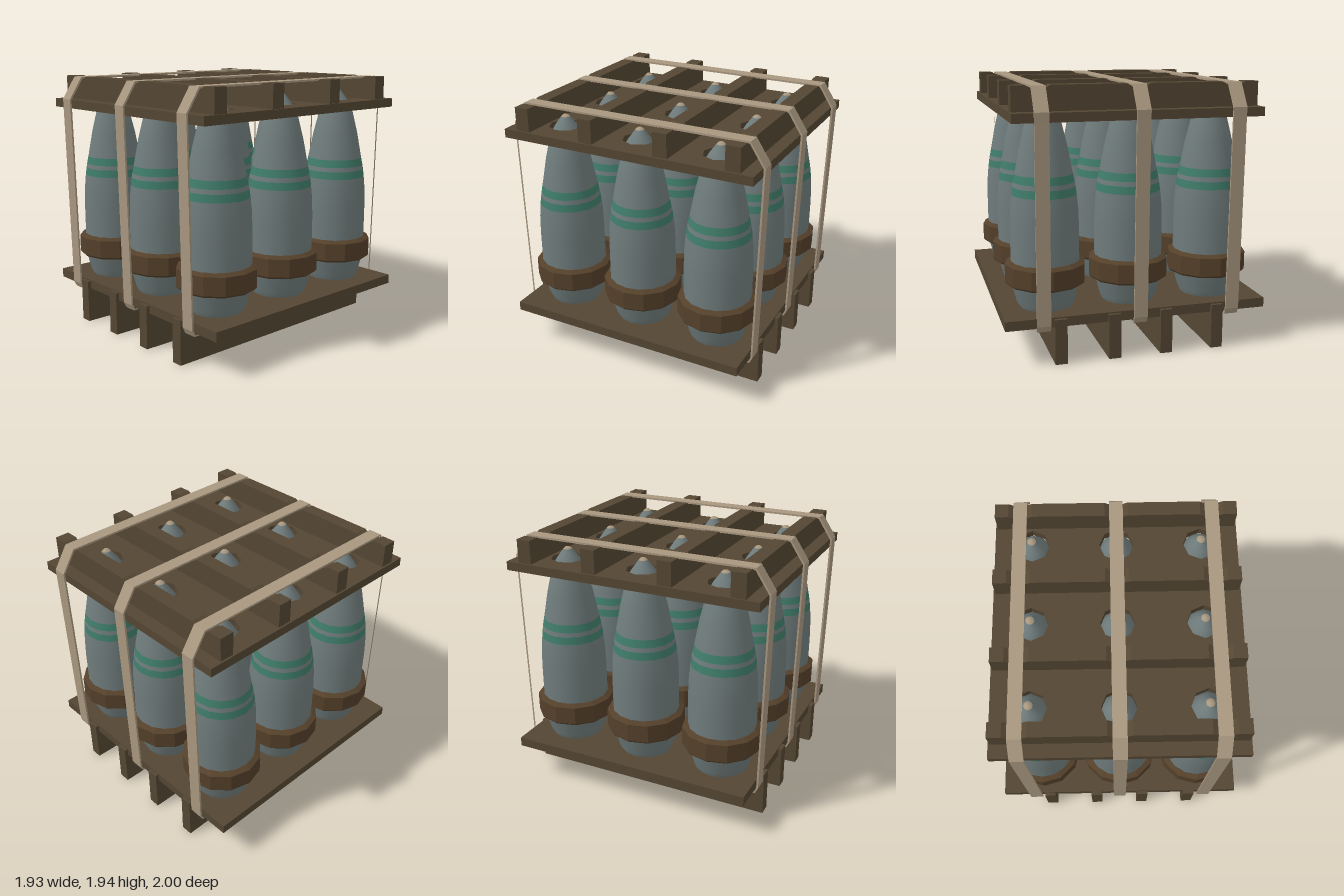
import * as THREE from 'three';

const mat = (name, color) => {
  const m = new THREE.MeshStandardMaterial({ color });
  m.name = name;
  return m;
};

export function createModel() {
  const root = new THREE.Group();
  root.name = 'palletOfShells';
  const wood = mat('wood', 0x544633);
  const ringBrown = mat('ringBrown', 0x54402a);
  const steel = mat('shellGrey', 0x6f7b7b);
  const green = mat('bandGreen', 0x3f7c69);
  const webbing = mat('strapTan', 0xa8977f);

  const add = (parent, name, geo, material, x = 0, y = 0, z = 0) => {
    const m = new THREE.Mesh(geo, material);
    m.name = name;
    m.position.set(x, y, z);
    parent.add(m);
    return m;
  };
  const pts = (list) => list.map(([a, b]) => new THREE.Vector2(a, b));
  const lathe = (list, sides) => new THREE.LatheGeometry(pts(list), sides);
  const columns = [-0.622, 0, 0.622];
  const rows = [-0.627, 0, 0.627];
  const strapX = [-0.7, 0, 0.7];

  // Pallet: deck board on four joists
  add(root, 'deckBoard', new THREE.BoxGeometry(1.935, 0.07, 1.88), wood, 0, 0.305, 0);
  for (const x of [-0.585, -0.195, 0.19, 0.58])
    add(root, 'joist', new THREE.BoxGeometry(0.088, 0.33, 1.935), wood, x, 0.165, 0);

  // Top board with octagonal holes for the noses
  const board = new THREE.Shape(pts([[-0.897, -0.977], [0.897, -0.977], [0.897, 0.977], [-0.897, 0.977]]));
  for (const x of columns) for (const z of rows) {
    const hole = [];
    for (let i = 0; i < 8; i++) {
      const a = -i * Math.PI / 4;
      hole.push([x + 0.127 * Math.cos(a), z + 0.127 * Math.sin(a)]);
    }
    board.holes.push(new THREE.Path(pts(hole)));
  }
  const boardGeo = new THREE.ExtrudeGeometry(board, { depth: 0.065, bevelEnabled: false });
  boardGeo.rotateX(-Math.PI / 2);
  add(root, 'topBoard', boardGeo, wood, 0, 1.7, 0);

  // Battens, notched where the straps cross
  const outline = [[-0.883, 1.765], [0.883, 1.765], [0.883, 1.94]];
  for (const c of [...strapX].reverse())
    outline.push([c + 0.085, 1.94], [c + 0.052, 1.92], [c - 0.052, 1.92], [c - 0.085, 1.94]);
  outline.push([-0.883, 1.94]);
  const battenGeo = new THREE.ExtrudeGeometry(new THREE.Shape(pts(outline)), { depth: 0.108, bevelEnabled: false });
  battenGeo.translate(0, 0, -0.054);
  for (const z of [-0.827, -0.297, 0.293, 0.823]) add(root, 'batten', battenGeo, wood, 0, 0, z);

  // Straps: closed thin loops around the whole stack
  const loop = (half) => pts([...half, ...half.map(([z, y]) => [-z, y]).reverse()]);
  const strap = new THREE.Shape(loop([[0.89, 1.938], [1, 1.77], [0.998, 1.7], [0.967, 0.29], [0.945, 0.245]]));
  strap.holes.push(new THREE.Path(loop([[0.882, 1.924], [0.986, 1.765], [0.984, 1.7], [0.953, 0.29], [0.938, 0.258]])));
  const strapGeo = new THREE.ExtrudeGeometry(strap, { depth: 0.1, bevelEnabled: false });
  strapGeo.translate(0, 0, -0.05);
  strapGeo.rotateY(-Math.PI / 2);
  for (const x of strapX) add(root, 'strap', strapGeo, webbing, x, 0, 0);

  // Shell parts, from the base up to the nose
  const parts = [
    ['shellBase', steel, 16, [[0, 0.34], [0.195, 0.34], [0.195, 0.34], [0.213, 0.38], [0.25, 0.52]]],
    ['shellBody', steel, 16, [[0.25, 0.66], [0.25, 0.92], [0.245, 1.06], [0.235, 1.16]]],
    ['lowerGreenBand', green, 16, [[0.235, 1.16], [0.227, 1.217]]],
    ['bandGap', steel, 16, [[0.227, 1.217], [0.221, 1.25]]],
    ['upperGreenBand', green, 16, [[0.221, 1.25], [0.209, 1.307]]],
    ['shellNose', steel, 16, [[0.209, 1.307], [0.172, 1.5], [0.122, 1.7], [0.083, 1.765], [0.032, 1.835]]],
    ['noseTip', webbing, 16, [[0.032, 1.835], [0.018, 1.848], [0, 1.852]]],
  ].map(([name, m, sides, list]) => [name, m, lathe(list, sides)]);

  // Faceted protective ring with chamfered edges
  const ringGeo = lathe([[0.245, 0.51], [0.28, 0.51], [0.294, 0.525], [0.294, 0.66], [0.255, 0.68], [0.245, 0.68]], 12)
    .toNonIndexed();
  ringGeo.computeVertexNormals();

  for (const x of columns) for (const z of rows) {
    const shell = new THREE.Group();
    shell.name = 'shell';
    shell.position.set(x, 0, z);
    for (const [name, m, geo] of parts) add(shell, name, geo, m);
    add(shell, 'protectiveRing', ringGeo, ringBrown);
    root.add(shell);
  }
  return root;
}
